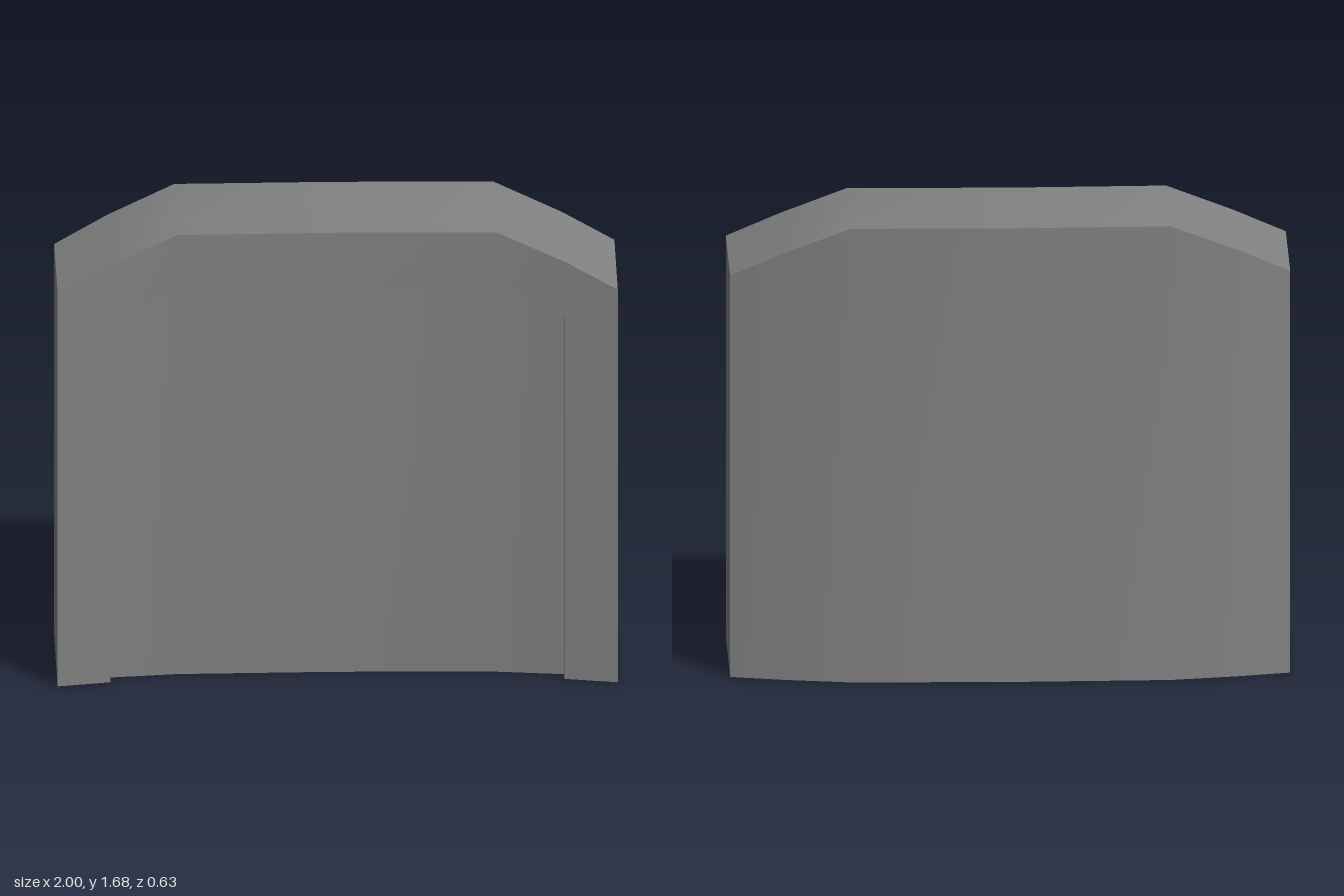
import * as THREE from 'three';
import { toCreasedNormals } from 'three/addons/utils/BufferGeometryUtils.js';

const BASE = 0;      // underside of the slab
const RECESS = 0.05; // how far the panel sits behind the surround

// Half profile from the centre outwards: x, top, underside of arch, front z, back z
const HALF = [
  [0, 1.68, 1.47, 0.23, -0.315],
  [0.57, 1.68, 1.47, 0.242, -0.305],
  [0.81, 1.58, 1.368, 0.274, -0.263],
  [1, 1.487, BASE, 0.315, -0.218],
];

// Mirrors stations about x = 0 into one left-to-right run
const mirror = (half) => [
  ...half.slice(1).reverse().map((s) => ({ ...s, x: -s.x })),
  ...half,
];

// Lofts rectangular sections (bottom, top, front, back) along x and caps both ends
function loft(stations) {
  const rings = stations.map(({ x, bottom, top, front, back }) => [
    [x, bottom, front], [x, top, front], [x, top, back], [x, bottom, back],
  ]);
  const pos = [];
  const quad = (a, b, c, d) => pos.push(...a, ...b, ...c, ...a, ...c, ...d);
  for (let i = 0; i < rings.length - 1; i++) {
    const a = rings[i], b = rings[i + 1];
    for (let k = 0; k < 4; k++) {
      const n = (k + 1) % 4;
      quad(a[k], b[k], b[n], a[n]);
    }
  }
  const first = rings[0], last = rings[rings.length - 1];
  quad(first[0], first[1], first[2], first[3]);
  quad(last[0], last[3], last[2], last[1]);
  const geometry = new THREE.BufferGeometry();
  geometry.setAttribute('position', new THREE.Float32BufferAttribute(pos, 3));
  return toCreasedNormals(geometry, THREE.MathUtils.degToRad(32));
}

export function createModel() {
  const group = new THREE.Group();
  group.name = 'curvedArchedPanel';
  const material = new THREE.MeshStandardMaterial({ color: 0x828282 });
  const add = (name, stations) => {
    const mesh = new THREE.Mesh(loft(stations), material);
    mesh.name = name;
    group.add(mesh);
  };

  // Curved slab whose front forms the recessed panel
  add('slab', mirror(HALF.map(([x, top, , front, back]) => (
    { x, bottom: BASE, top, front: front - RECESS, back }))));

  // Raised surround: the arch drops to the base at the jambs
  const surround = HALF.map(([x, top, arch, front]) => (
    { x, bottom: arch, top, front, back: front - RECESS }));
  surround.splice(3, 0, { ...surround[2], bottom: BASE });
  add('surround', mirror(surround));

  return group;
}
